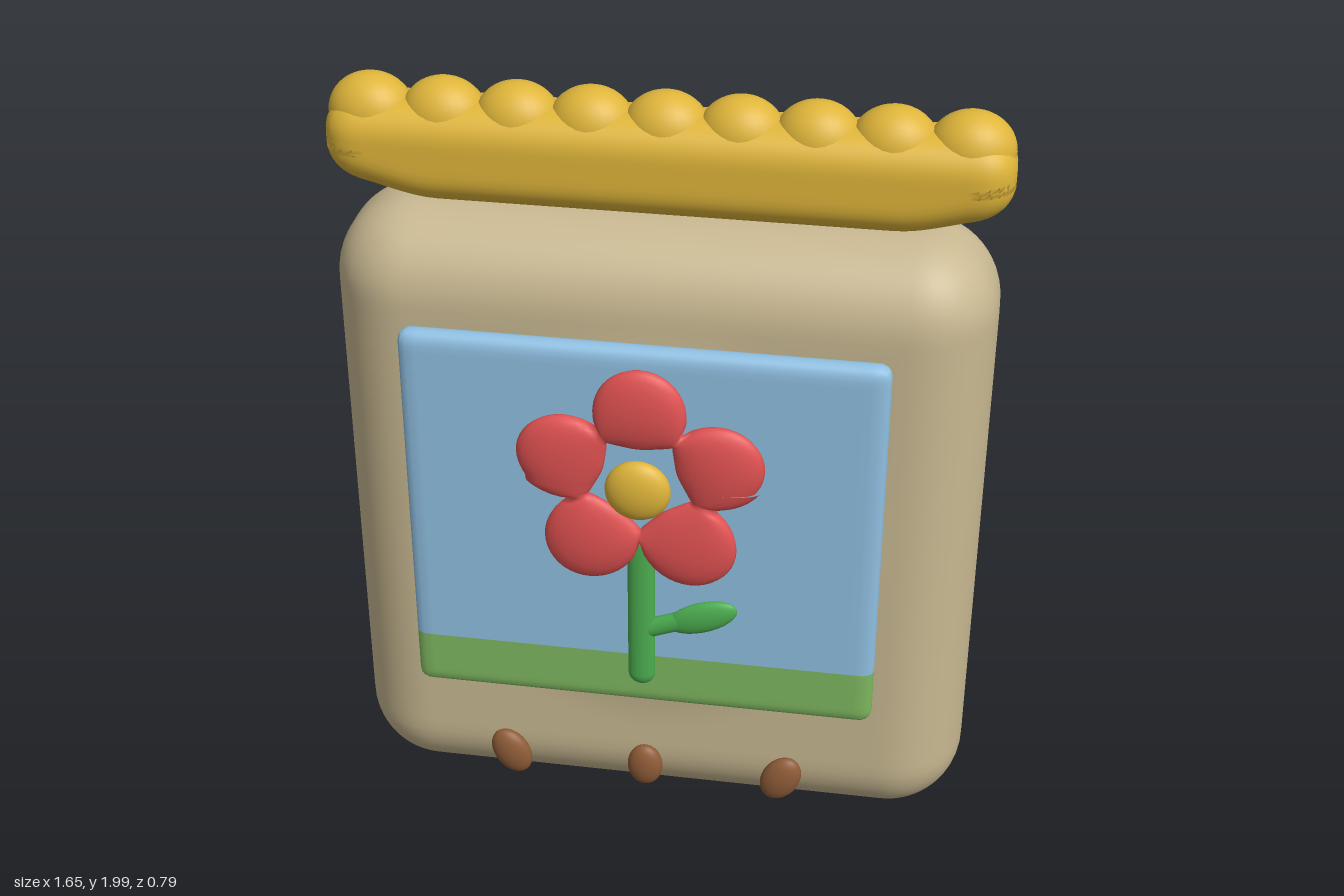
import * as THREE from 'three';
import { mergeVertices } from 'three/addons/utils/BufferGeometryUtils.js';

const mat = (name, color) => {
  const m = new THREE.MeshStandardMaterial({ color });
  m.name = name;
  return m;
};

// Box whose edges are rounded by radius r, with an even grid on every side
function softBox(w, h, d, r, sx, sy, sz, rule) {
  const g = new THREE.BoxGeometry(w, h, d, sx, sy, sz);
  const pos = g.attributes.position;
  const half = new THREE.Vector3(w / 2 - r, h / 2 - r, d / 2 - r);
  const low = half.clone().negate();
  const p = new THREE.Vector3(), inner = new THREE.Vector3();
  for (let i = 0; i < pos.count; i++) {
    p.fromBufferAttribute(pos, i);
    inner.copy(p).clamp(low, half);
    p.sub(inner).setLength(r).add(inner);
    if (rule) rule(p);
    pos.setXYZ(i, p.x, p.y, p.z);
  }
  return smooth(g);
}

// Weld seams so the normals run smoothly over them
function smooth(g) {
  g.deleteAttribute('normal');
  g.deleteAttribute('uv');
  const m = mergeVertices(g, 1e-4);
  m.clearGroups();
  m.computeVertexNormals();
  return m;
}

// Ring of five petals: a torus redrawn between a lobed outline and a small hole
function petalRing() {
  const g = new THREE.TorusGeometry(1, 0.5, 20, 120);
  const pos = g.attributes.position;
  for (let i = 0; i < pos.count; i++) {
    const x = pos.getX(i), y = pos.getY(i), z = pos.getZ(i);
    const a = Math.atan2(y, x);
    const lobe = Math.pow(Math.abs(Math.cos(2.5 * (a - Math.PI / 2))), 0.7);
    const outer = 0.17 + 0.14 * lobe + (y < 0 ? 0.015 * lobe : 0);
    const inner = 0.135 - 0.04 * lobe;
    const across = (Math.hypot(x, y) - 1) / 0.5;
    const r = (outer + inner) / 2 + across * (outer - inner) / 2;
    pos.setXYZ(i, r * Math.cos(a), r * Math.sin(a), (z / 0.5) * (0.016 + 0.018 * lobe));
  }
  return smooth(g);
}

export function createModel() {
  const model = new THREE.Group();
  const casing = mat('beige casing', 0xc8b891);
  const gold = mat('gold', 0xdfb53a);
  const sky = mat('sky blue', 0x90c0e2);
  const grass = mat('grass green', 0x7fb860);
  const red = mat('petal red', 0xe25252);
  const leafGreen = mat('stem green', 0x4cae50);
  const brown = mat('button brown', 0x8f5c38);

  const add = (name, geo, material, x, y, z, parent = model) => {
    const mesh = new THREE.Mesh(geo, material);
    mesh.name = name;
    mesh.position.set(x, y, z);
    parent.add(mesh);
    return mesh;
  };
  const ball = new THREE.SphereGeometry(1, 28, 20);
  const ellipsoid = (name, material, x, y, z, rx, ry, rz, turn = 0, parent = model) => {
    const mesh = add(name, ball, material, x, y, z, parent);
    mesh.scale.set(rx, ry, rz);
    mesh.rotation.z = turn;
    return mesh;
  };

  // Casing with a shallow dome on front and back
  const body = softBox(1.625, 1.69, 0.455, 0.2, 56, 56, 20, (p) => {
    const d = Math.min(Math.hypot(p.x, p.y - 0.045) / 0.62, 1);
    if (Math.abs(p.z) > 0.15) p.z += Math.sign(p.z) * 0.0465 * (1 + Math.cos(Math.PI * d));
  });
  add('casing', body, casing, 0, 0.855, -0.075);

  // Scalloped top trim: a soft bar with a row of bumps
  const trim = new THREE.Group();
  trim.name = 'topTrim';
  model.add(trim);
  const bar = softBox(1.65, 0.25, 0.21, 0.085, 60, 14, 12, (p) => {
    if (p.y < 0) p.y += 0.05 * THREE.MathUtils.smoothstep(Math.abs(p.x), 0.55, 0.82);
  });
  add('trimBar', bar, gold, 0, 1.825, -0.075, trim);
  for (let i = -4; i <= 4; i++) {
    ellipsoid('trimBump', gold, i * 0.179, 1.905, -0.075, 0.105, 0.095, 0.086, 0, trim);
  }

  // Screen panel, grass below and sky above
  const panel = softBox(1.17, 1.03, 0.062, 0.03, 50, 60, 8);
  const idx = panel.index.array, above = [], below = [];
  for (let i = 0; i < idx.length; i += 3) {
    const tri = [idx[i], idx[i + 1], idx[i + 2]];
    const mid = tri.reduce((s, v) => s + panel.attributes.position.getY(v), 0) / 3;
    (mid > -0.3605 ? above : below).push(...tri);
  }
  panel.setIndex([...above, ...below]);
  panel.addGroup(0, above.length, 0);
  panel.addGroup(above.length, below.length, 1);
  add('screen', panel, [sky, grass], -0.003, 0.995, 0.271);

  // Flower
  const flower = new THREE.Group();
  flower.name = 'flower';
  model.add(flower);
  add('petals', petalRing(), red, 0, 1.165, 0.324, flower);
  ellipsoid('flowerCentre', gold, 0, 1.163, 0.355, 0.08, 0.08, 0.037, 0, flower);
  const stem = add('stem', new THREE.CapsuleGeometry(0.034, 0.39, 8, 20), leafGreen, 0, 0.785, 0.312, flower);
  stem.scale.z = 0.6;
  const stalk = add('leafStalk', new THREE.CapsuleGeometry(0.026, 0.08, 8, 16), leafGreen, 0.06, 0.745, 0.312, flower);
  stalk.rotation.z = -1.2;
  stalk.scale.z = 0.65;
  ellipsoid('leaf', leafGreen, 0.152, 0.777, 0.314, 0.093, 0.042, 0.02, 0.38, flower);

  // Three buttons, the outer pair tilted outwards
  for (const side of [-1, 0, 1]) {
    ellipsoid('button', brown, side * 0.357, 0.25, 0.268, side ? 0.049 : 0.046,
      side ? 0.07 : 0.062, 0.028, -side * 0.45);
  }
  return model;
}
